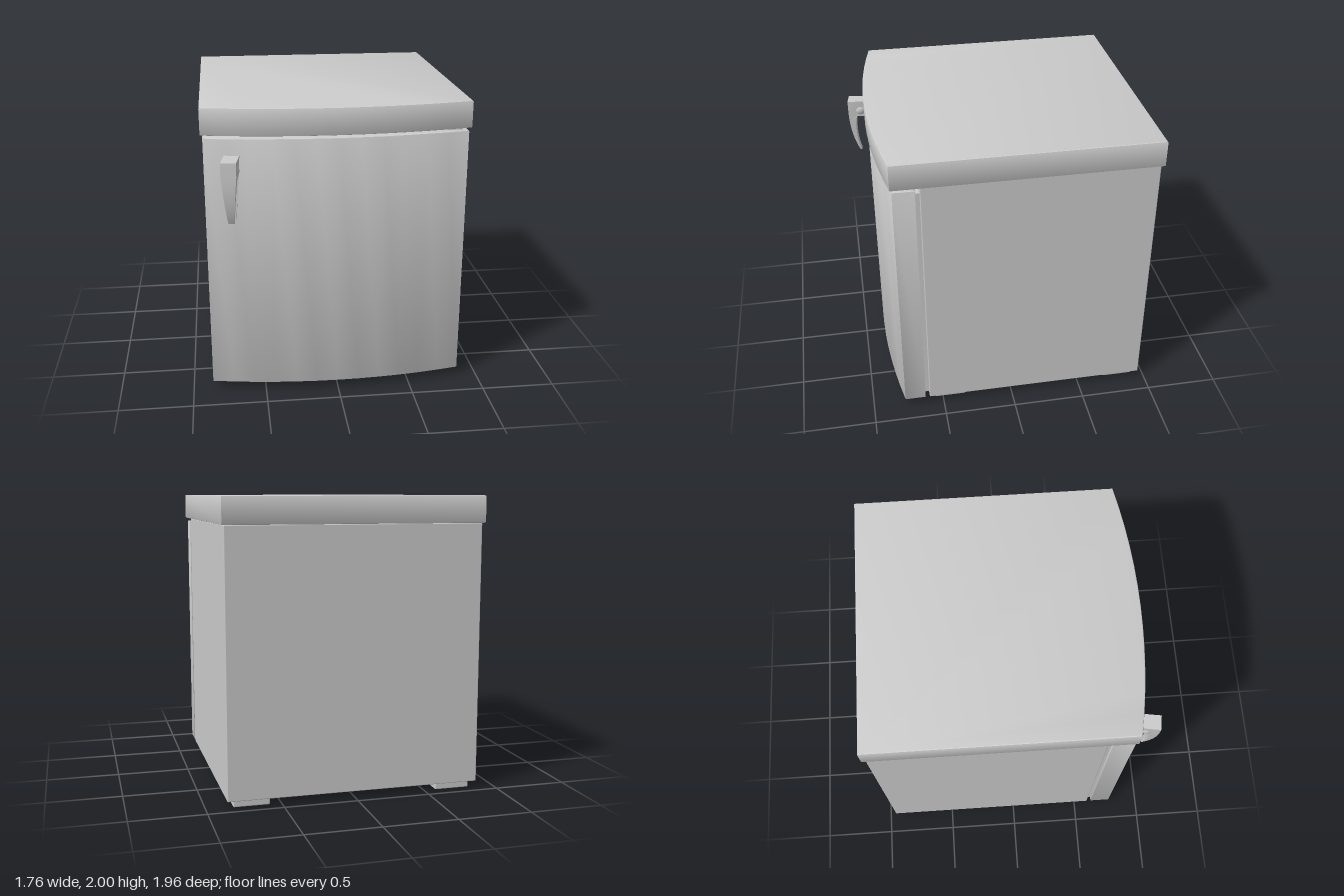
import * as THREE from 'three';
import { toCreasedNormals } from 'three/addons/utils/BufferGeometryUtils.js';
import { RoundedBoxGeometry } from 'three/addons/geometries/RoundedBoxGeometry.js';

const grey = new THREE.MeshStandardMaterial({ color: 0xcccccc });

function add(parent, name, geometry) {
  const mesh = new THREE.Mesh(geometry, grey);
  mesh.name = name;
  parent.add(mesh);
  return mesh;
}

// Box given by its limits on each axis, with slightly eased edges
function block(parent, name, [x0, x1], [y0, y1], [z0, z1], radius = 0.006) {
  const mesh = add(parent, name, new RoundedBoxGeometry(x1 - x0, y1 - y0, z1 - z0, 2, radius));
  mesh.position.set((x0 + x1) / 2, (y0 + y1) / 2, (z0 + z1) / 2);
}

// Slab with straight sides and a gently bowed front, bevelled all round
function bowedSlab(parent, name, halfWidth, y0, y1, zBack, zSide, zFront) {
  const bow = zFront - zSide, bevel = 0.008, steps = 12;
  const radius = (halfWidth ** 2 + bow ** 2) / (2 * bow);
  const shape = new THREE.Shape();
  shape.moveTo(-halfWidth, zBack);
  shape.lineTo(halfWidth, zBack);
  for (let i = 0; i <= steps; i++) {
    const x = halfWidth * (1 - (2 * i) / steps);
    shape.lineTo(x, zFront - radius + Math.sqrt(radius ** 2 - x ** 2));
  }
  shape.closePath();
  const geometry = new THREE.ExtrudeGeometry(shape, {
    depth: y1 - y0 - 2 * bevel, bevelThickness: bevel, bevelSize: bevel,
    bevelOffset: -bevel, bevelSegments: 2,
  });
  geometry.rotateX(Math.PI / 2).translate(0, y1 - bevel, 0);
  add(parent, name, toCreasedNormals(geometry, 0.4));
}

// Lever and door plate in one hooked side profile, tapering downwards
function handleGeometry() {
  const width = 0.1, taperTop = 1.6, bottom = 1.265;
  const profile = new THREE.Shape();
  profile.moveTo(-0.01, 1.69);
  profile.lineTo(-0.01, bottom);
  profile.lineTo(0.014, bottom);
  profile.quadraticCurveTo(0.014, 1.45, 0.03, 1.57);
  profile.lineTo(0.093, 1.57);
  profile.quadraticCurveTo(0.125, 1.41, 0.079, bottom);
  profile.lineTo(0.09, bottom);
  profile.quadraticCurveTo(0.155, 1.40, 0.155, 1.6);
  profile.lineTo(0.155, 1.69);
  profile.closePath();
  const geometry = new THREE.ExtrudeGeometry(profile, { depth: width, bevelEnabled: false, curveSegments: 10 });
  geometry.translate(0, 0, -width / 2).rotateY(-Math.PI / 2);
  const p = geometry.attributes.position;
  for (let i = 0; i < p.count; i++) {
    const t = Math.max(0, (taperTop - p.getY(i)) / (taperTop - bottom));
    p.setX(i, p.getX(i) * (1 - 0.6 * t));
  }
  return toCreasedNormals(geometry, 0.5);
}

export function createModel() {
  const model = new THREE.Group();
  model.name = 'miniFridge';

  // Cabinet, worktop and door
  block(model, 'cabinet', [-0.865, 0.865], [0.05, 1.82], [-0.955, 0.6]);
  bowedSlab(model, 'worktop', 0.88, 1.82, 2, -0.975, 0.787, 0.878);
  bowedSlab(model, 'door', 0.865, 0.05, 1.8, 0.63, 0.775, 0.86);
  block(model, 'doorSeal', [-0.84, 0.84], [0.08, 1.77], [0.59, 0.64]);
  block(model, 'hinge', [0.74, 0.83], [1.79, 1.83], [0.66, 0.75], 0.004);

  // Four feet
  for (const side of [-1, 1]) {
    for (const z of [0.445, -0.81]) {
      block(model, 'foot', [side * 0.7 - 0.122, side * 0.7 + 0.122], [0, 0.07], [z - 0.11, z + 0.11], 0.008);
    }
  }

  // Handle, turned to follow the bow of the door
  const handle = new THREE.Group();
  handle.name = 'handle';
  handle.position.set(-0.686, 0, 0.82);
  handle.rotation.y = -0.16;
  add(handle, 'lever', handleGeometry());
  add(handle, 'pivot', new THREE.SphereGeometry(0.058, 24, 16)).position.set(0, 1.615, 0.065);
  model.add(handle);

  return model;
}
